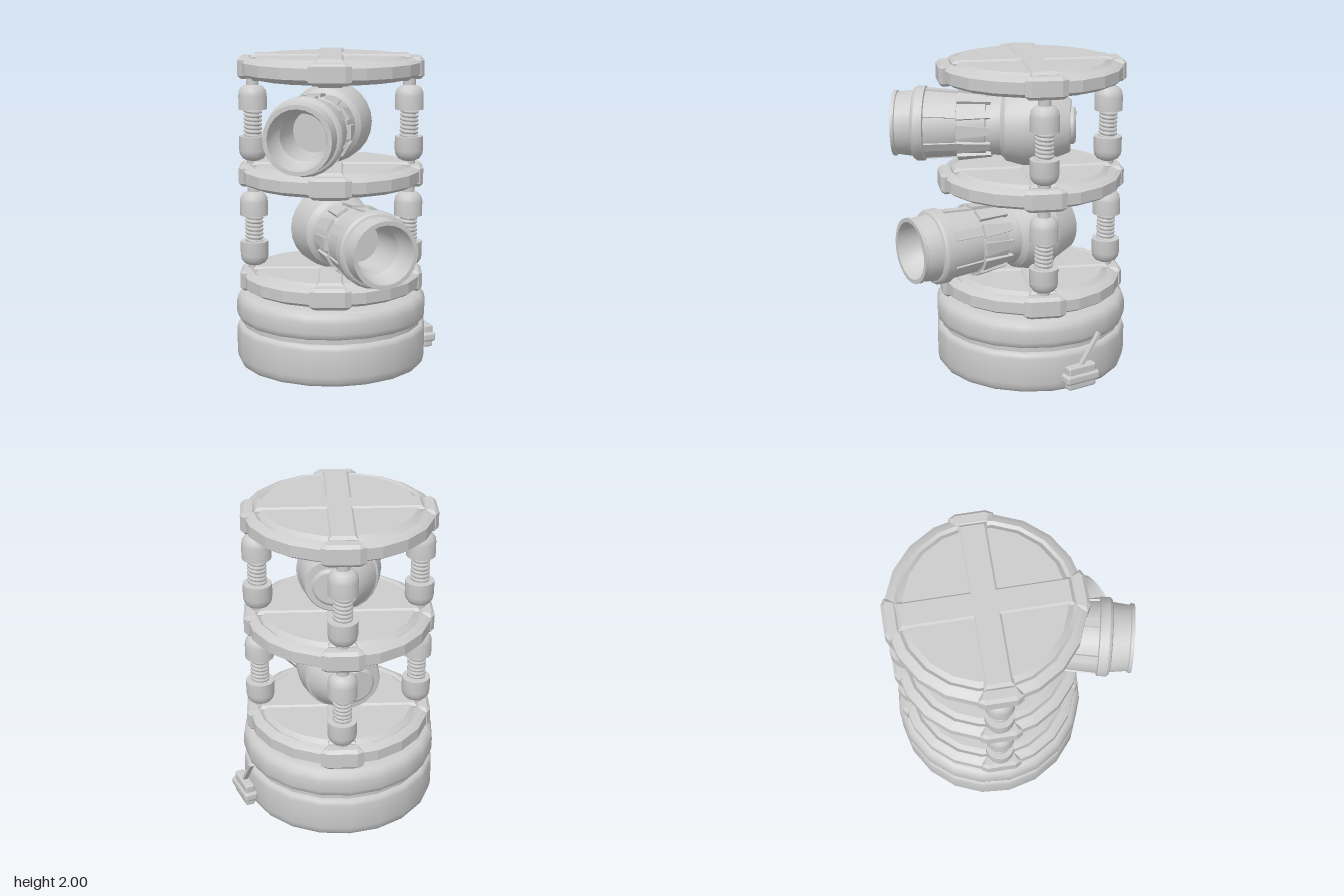
import * as THREE from 'three';
import { toCreasedNormals } from 'three/addons/utils/BufferGeometryUtils.js';
import { RoundedBoxGeometry } from 'three/addons/geometries/RoundedBoxGeometry.js';

const grey = new THREE.MeshStandardMaterial({ color: 0xcccccc, side: THREE.DoubleSide });
const TURN = -Math.PI / 8; // the crosses and posts are turned by this angle

function add(parent, name, geometry, x = 0, y = 0, z = 0) {
  const mesh = new THREE.Mesh(geometry, grey);
  mesh.name = name;
  mesh.position.set(x, y, z);
  parent.add(mesh);
  return mesh;
}

function group(parent, name, x = 0, y = 0, z = 0) {
  const g = new THREE.Group();
  g.name = name;
  g.position.set(x, y, z);
  parent.add(g);
  return g;
}

// Turned part from [radius, height] pairs, listed from bottom to top
function turned(points, sides = 20, crease = 0.5) {
  const profile = points.map(([r, y]) => new THREE.Vector2(r, y));
  return toCreasedNormals(new THREE.LatheGeometry(profile, sides), crease);
}

// Flat outline with bevelled edges, lying in xz and centred on y = 0
function slab(points, thickness, bevel) {
  const shape = new THREE.Shape(points.map(([x, y]) => new THREE.Vector2(x, y)));
  const depth = thickness - 2 * bevel;
  return new THREE.ExtrudeGeometry(shape, {
    depth, bevelThickness: bevel, bevelSize: bevel, bevelOffset: -bevel, bevelSegments: 1,
  }).translate(0, 0, -depth / 2).rotateX(-Math.PI / 2);
}

// Round deck with a raised cross on both faces and four rim clamps
function makeDeck(parent, y) {
  const deck = group(parent, 'deck', 0, y, 0);
  const top = [[0.57, 0.035], [0.545, 0.052], [0.515, 0.064], [0.495, 0.05], [0.465, 0.074], [0, 0.074]];
  const bottom = top.map(([r, h]) => [r, -h]).reverse();
  add(deck, 'deckDisc', turned([...bottom, ...top], 20, 0.25));

  const w = 0.085, l = 0.5;
  const cross = slab([
    [l, -w], [l, w], [w, w], [w, l], [-w, l], [-w, w],
    [-l, w], [-l, -w], [-w, -w], [-w, -l], [w, -l], [w, -w],
  ], 0.17, 0.018);
  add(deck, 'deckCross', cross).rotation.y = TURN;

  const clamp = slab([[0.49, -0.1], [0.56, -0.13], [0.583, -0.09], [0.583, 0.09], [0.56, 0.13], [0.49, 0.1]], 0.135, 0.02);
  for (let i = 0; i < 4; i++) add(deck, 'rimClamp', clamp).rotation.y = TURN + i * Math.PI / 2;
}

// Sprung post: rod, two rounded cups and a coil between them
const cup = turned([
  [0, 0], [0.09, 0], [0.09, 0.09], [0.085, 0.118], [0.068, 0.142], [0.042, 0.155], [0, 0.155],
], 16, 0.6);

class Helix extends THREE.Curve {
  getPoint(t, target = new THREE.Vector3()) {
    const a = t * Math.PI * 2 * 7;
    return target.set(0.049 * Math.cos(a), (t - 0.5) * 0.18, 0.049 * Math.sin(a));
  }
}
const coil = new THREE.TubeGeometry(new Helix(), 112, 0.011, 6);

function makePost(parent, angle, y) {
  const post = group(parent, 'post', 0.495 * Math.cos(angle), y, -0.495 * Math.sin(angle));
  add(post, 'postRod', new THREE.CylinderGeometry(0.04, 0.04, 0.58, 16));
  add(post, 'spring', coil);
  add(post, 'upperCup', cup, 0, 0.085, 0);
  add(post, 'lowerCup', cup, 0, -0.085, 0).rotation.x = Math.PI;
}

// Barrel along +z with a bulbous rear, finned sleeve and open muzzle
function makeBarrel(parent, y, yaw) {
  const barrel = group(parent, 'barrel', 0, y, 0);
  barrel.rotation.y = yaw;
  add(barrel, 'barrelBody', turned([
    [0, -0.282], [0.1, -0.282], [0.118, -0.268], [0.118, -0.25], [0.16, -0.25], [0.17, -0.24],
    [0.24, -0.07], [0.252, -0.062], [0.252, 0.052], [0.228, 0.15], [0.195, 0.18], [0.185, 0.27],
    [0.197, 0.275], [0.21, 0.45], [0.203, 0.455], [0.217, 0.655], [0.235, 0.66], [0.235, 0.715],
    [0.222, 0.73], [0.208, 0.735], [0.196, 0.835], [0.206, 0.84], [0.206, 0.86], [0.18, 0.86],
    [0.165, 0.76], [0.14, 0.72], [0.13, 0.45], [0, 0.45],
  ], 24).rotateX(Math.PI / 2));

  // tapered fins around the sleeve, thin ribs ahead of them
  const fin = new THREE.ExtrudeGeometry(new THREE.Shape([
    new THREE.Vector2(-0.022, -0.11), new THREE.Vector2(0.022, -0.11),
    new THREE.Vector2(0.042, 0.1), new THREE.Vector2(-0.042, 0.1),
  ]), { depth: 0.03, bevelEnabled: false }).rotateX(Math.PI / 2 - 0.1);
  const rib = new THREE.BoxGeometry(0.055, 0.016, 0.2).rotateX(-0.07);
  for (let i = 0; i < 12; i++) {
    const spoke = group(barrel, 'barrelFin');
    spoke.rotation.z = i * Math.PI / 6;
    add(spoke, 'fin', fin, 0, 0.217, 0.35);
    if (i % 2 === 0) add(spoke, 'rib', rib, 0, 0.21, 0.555);
  }
}

// Small switch box with a slanted lever
function makeLever(parent) {
  const lever = group(parent, 'leverBox', 0.645, 0, 0.035);
  add(lever, 'leverFlange', new RoundedBoxGeometry(0.09, 0.06, 0.24, 2, 0.018), 0, 0.11, 0);
  add(lever, 'leverHousing', new RoundedBoxGeometry(0.062, 0.15, 0.2, 2, 0.014), 0, 0.115, 0);
  add(lever, 'leverMount', new THREE.BoxGeometry(0.06, 0.05, 0.16), -0.05, 0.11, 0);
  const handle = add(lever, 'leverHandle', new THREE.BoxGeometry(0.028, 0.25, 0.02), 0, 0.27, -0.062);
  handle.rotation.x = -0.6;
}

export function createModel() {
  const model = new THREE.Group();
  model.name = 'barrelTower';
  const tower = group(model, 'tower', -0.02, 0, -0.125);

  // drum base with a groove between two rounded bands
  add(tower, 'base', turned([
    [0, 0], [0.56, 0], [0.59, 0.012], [0.605, 0.035], [0.612, 0.07], [0.612, 0.235], [0.605, 0.26], [0.59, 0.272],
    [0.578, 0.272], [0.578, 0.307], [0.595, 0.307], [0.607, 0.32], [0.612, 0.345],
    [0.612, 0.41], [0.603, 0.447], [0.58, 0.47], [0.545, 0.48], [0, 0.48],
  ], 20, 0.7));
  makeLever(tower);

  for (const y of [0.555, 1.235, 1.915]) makeDeck(tower, y);

  // two storeys, each with three posts and one barrel
  [0.88, 1.562].forEach((y, storey) => {
    for (let i = 0; i < 3; i++) makePost(tower, TURN + i * Math.PI / 2, y);
    makeBarrel(tower, y + 0.005, storey * -0.61);
  });
  return model;
}
